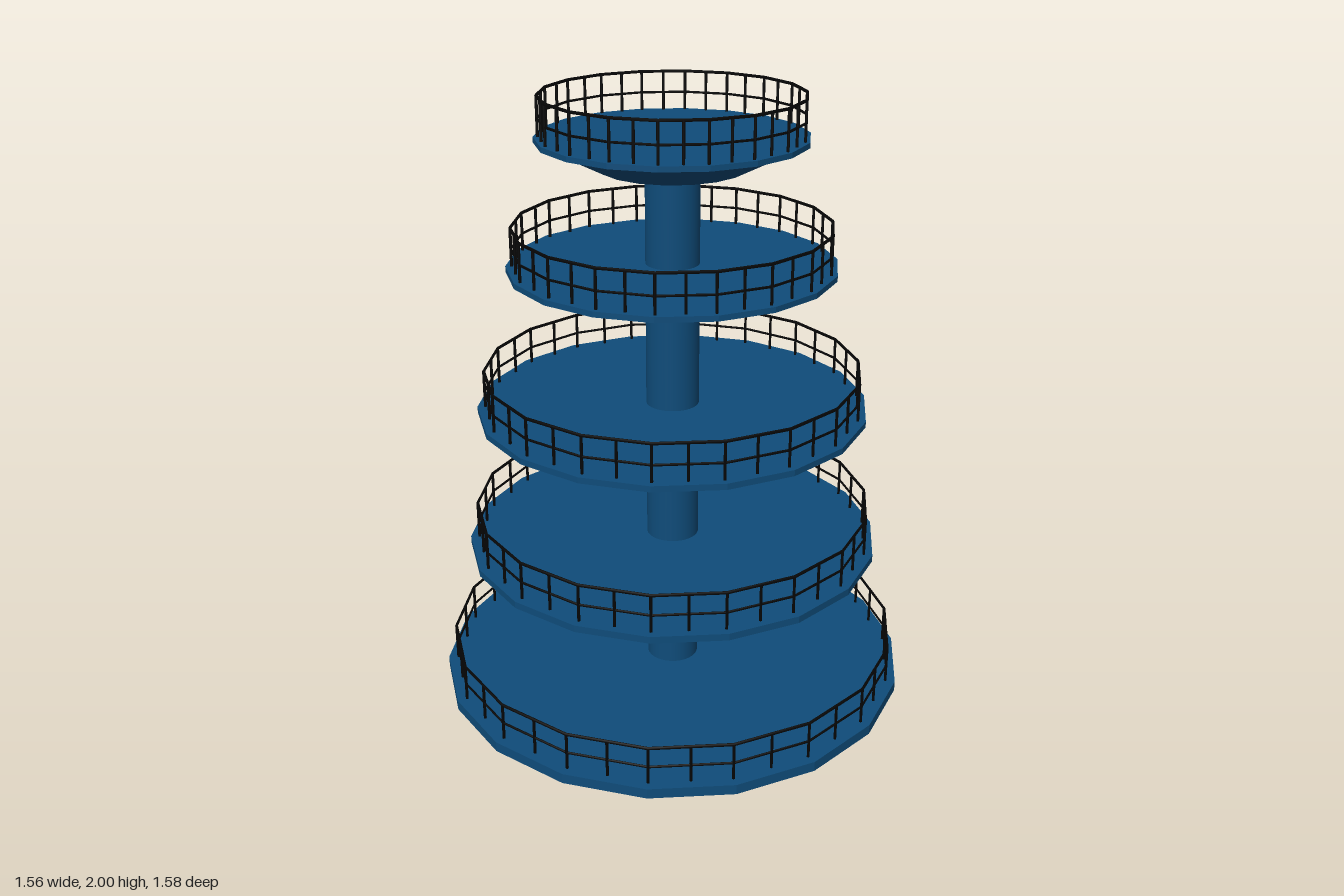
import * as THREE from 'three';

const SIDES = 18;
const POSTS = 36;

export function createModel() {
  const model = new THREE.Group();
  const blue = new THREE.MeshStandardMaterial({ color: 0x0f4c7a });
  blue.name = 'deckBlue';
  const black = new THREE.MeshStandardMaterial({ color: 0x050505 });
  black.name = 'railBlack';

  const add = (parent, name, geometry, material) => {
    const mesh = new THREE.Mesh(geometry, material);
    mesh.name = name;
    parent.add(mesh);
    return mesh;
  };

  // Faceted disc, with a flared support underneath when a foot height is given
  const deckGeometry = (radius, bottom, top, foot) => {
    const profile = [[0, bottom], [radius, bottom], [radius, top], [0, top]];
    if (foot !== null) profile.splice(0, 1, [0, foot], [0.23, foot], [0.37, bottom - 0.014]);
    const points = profile.map(([r, y]) => new THREE.Vector2(r, y));
    const geometry = new THREE.LatheGeometry(points, SIDES).toNonIndexed();
    geometry.computeVertexNormals();
    return geometry;
  };

  // Polygonal hoop with a corner on the z axis
  const hoopGeometry = (radius, tube) =>
    new THREE.TorusGeometry(radius, tube, 6, SIDES).rotateX(Math.PI / 2).rotateY(Math.PI / 2);

  // Hoops at hand and mid height, posts at every corner and side middle
  const addRailing = (parent, radius, deckTop, railTop) => {
    const railing = new THREE.Group();
    railing.name = 'railing';
    parent.add(railing);
    add(railing, 'handRail', hoopGeometry(radius, 0.005), black).position.y = railTop - 0.005;
    add(railing, 'midRail', hoopGeometry(radius, 0.004), black).position.y = railTop - 0.073;
    const height = railTop - 0.005 - deckTop;
    const post = new THREE.CylinderGeometry(0.005, 0.005, height, 6);
    for (let i = 0; i < POSTS; i++) {
      const angle = (i / POSTS) * Math.PI * 2;
      const r = i % 2 ? radius * Math.cos(Math.PI / SIDES) : radius;
      add(railing, 'railPost', post, black)
        .position.set(Math.sin(angle) * r, deckTop + height / 2, Math.cos(angle) * r);
    }
  };

  // Central column
  add(model, 'column', new THREE.CylinderGeometry(0.087, 0.087, 1.8, 32), blue).position.y = 0.92;

  // Tiers: deck radius, underside, top, support foot, rail radius, rail top
  const tiers = [
    [0.79, 0, 0.034, null, 0.757, 0.165],
    [0.687, 0.487, 0.51, 0.4, 0.658, 0.64],
    [0.64, 0.967, 0.987, 0.88, 0.614, 1.115],
    [0.528, 1.445, 1.463, 1.355, 0.508, 1.592],
    [0.427, 1.853, 1.87, 1.768, 0.412, 2],
  ];
  tiers.forEach(([radius, bottom, top, foot, railRadius, railTop], i) => {
    const tier = new THREE.Group();
    tier.name = `tier${i + 1}`;
    model.add(tier);
    add(tier, 'deck', deckGeometry(radius, bottom, top, foot), blue);
    addRailing(tier, railRadius, top, railTop);
  });

  return model;
}
